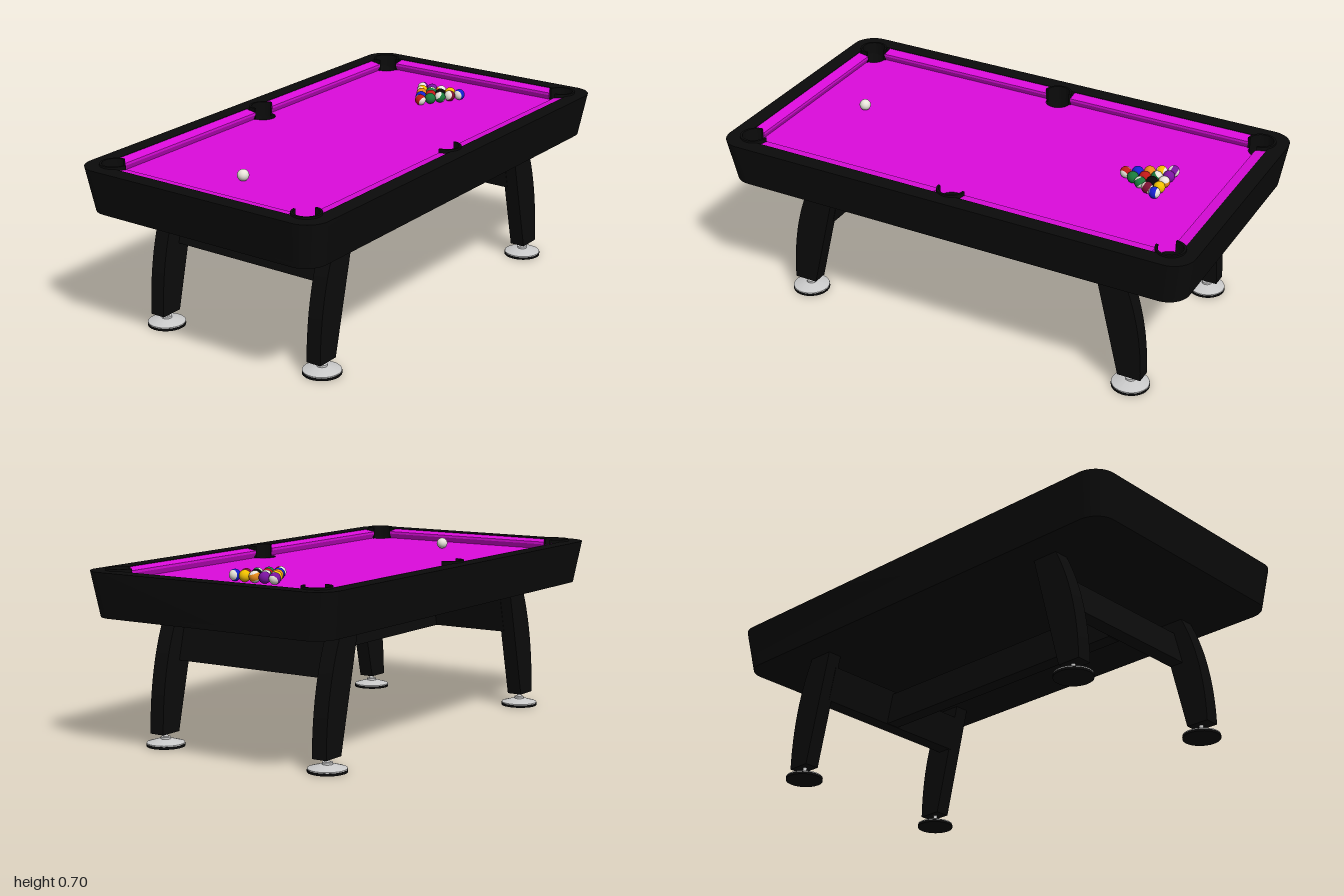
import * as THREE from 'three';
import { toCreasedNormals } from 'three/addons/utils/BufferGeometryUtils.js';

const mat = (color, side = THREE.FrontSide) => new THREE.MeshStandardMaterial({ color, side });
const black = mat(0x0b0b0b), blackDouble = mat(0x0b0b0b, THREE.DoubleSide);
const cloth = mat(0xdd0bdd), metal = mat(0xcccccc, THREE.DoubleSide);

const TOP = 0.695, BED = 0.655, BOTTOM = 0.52;
const INX = 0.935, INZ = 0.49; // inner edge of the rail
const PX = 0.895, PZ = 0.448, PR = 0.056; // pocket centres and radius

function add(parent, name, geometry, material, x = 0, y = 0, z = 0) {
  const m = new THREE.Mesh(geometry, material);
  m.name = name;
  m.position.set(x, y, z);
  parent.add(m);
  return m;
}

// Plan shape (x, z) extruded downwards from the given height
function slab(shape, top, depth) {
  const g = new THREE.ExtrudeGeometry(shape, { depth, bevelEnabled: false, curveSegments: 16 });
  g.rotateX(Math.PI / 2).translate(0, top, 0);
  return toCreasedNormals(g, 0.5);
}

function roundedRect(hx, hz, r) {
  const s = new THREE.Shape();
  s.absarc(hx - r, hz - r, r, 0, Math.PI / 2);
  s.absarc(-hx + r, hz - r, r, Math.PI / 2, Math.PI);
  s.absarc(-hx + r, -hz + r, r, Math.PI, Math.PI * 1.5);
  s.absarc(hx - r, -hz + r, r, Math.PI * 1.5, Math.PI * 2);
  s.closePath();
  return s;
}

// Body sides lean inwards towards the bottom
function taper(g) {
  const p = g.attributes.position;
  for (let i = 0; i < p.count; i++) {
    const t = (TOP - p.getY(i)) / (TOP - BOTTOM);
    p.setX(i, p.getX(i) * (1 - 0.025 * t));
    p.setZ(i, p.getZ(i) * (1 - 0.05 * t));
  }
  return toCreasedNormals(g, 0.5);
}

// Six pockets, anticlockwise in plan: centre, rail bite angles, wall angles
function pockets() {
  const a = Math.asin((INZ - PZ) / PR), b = Math.acos((INX - PX) / PR), P = Math.PI;
  return [
    [PX, PZ, -b, P - a, -P / 2, P],
    [0, PZ, a, P - a, 0, P],
    [-PX, PZ, a, P + b, 0, P * 1.5],
    [-PX, -PZ, P - b, 2 * P - a, P / 2, P * 2],
    [0, -PZ, P + a, 2 * P - a, P, P * 2],
    [PX, -PZ, P + a, 2 * P + b, P, P * 2.5],
  ];
}

function buildBody(group) {
  const outline = roundedRect(1, 0.555, 0.09);
  add(group, 'undersidePanel', taper(slab(outline, BOTTOM + 0.02, 0.02)), black);

  // Rail frame with bites for the pockets
  const inner = new THREE.Path();
  for (const [x, z, a0, a1] of pockets()) inner.absarc(x, z, PR, a0, a1);
  inner.closePath();
  outline.holes.push(inner);
  add(group, 'railFrame', taper(slab(outline, TOP, TOP - BOTTOM - 0.02)), black);

  // Playing bed with pocket holes
  const bed = roundedRect(0.955, 0.515, 0.06);
  for (const [x, z] of pockets()) {
    const hole = new THREE.Path();
    hole.absarc(x, z, 0.05, 0, Math.PI * 2);
    bed.holes.push(hole);
  }
  add(group, 'bed', slab(bed, BED, 0.02), cloth);

  // Pocket cups and raised curved jaws
  for (const [x, z, , , w0, w1] of pockets()) {
    add(group, 'pocketCup', new THREE.CylinderGeometry(0.0495, 0.045, 0.096, 32, 1, true), blackDouble, x, 0.608, z);
    add(group, 'pocketFloor', new THREE.CylinderGeometry(0.046, 0.046, 0.006, 32), black, x, 0.56, z);
    const jaw = new THREE.Shape();
    jaw.absarc(0, 0, 0.057, w0, w1);
    jaw.absarc(0, 0, 0.048, w1, w0, true);
    jaw.closePath();
    add(group, 'pocketJaw', slab(jaw, 0.703, 0.06), black, x, 0, z);
  }
}

function buildCushions(group) {
  const profile = new THREE.Shape([
    [-0.005, BED], [0.036, BED], [0.045, 0.675], [0.045, 0.685], [0, 0.693], [-0.005, 0.693],
  ].map(([d, y]) => new THREE.Vector2(d, y)));
  const cushion = (length, x, z, turn) => {
    const g = new THREE.ExtrudeGeometry(profile, { depth: length, bevelEnabled: false });
    g.translate(0, 0, -length / 2);
    add(group, 'cushion', g, cloth, x, 0, z).rotation.y = turn;
  };
  const longLength = PX - 2 * PR, mid = PX / 2;
  for (const s of [-1, 1]) {
    cushion(2 * (PZ - PR), s * INX, 0, s < 0 ? 0 : Math.PI);
    for (const e of [-1, 1]) cushion(longLength, e * mid, s * INZ, s * Math.PI / 2);
  }
}

// One end: two curved legs, feet and a slanted cross beam
function buildEnd() {
  const end = new THREE.Group();
  const legShape = new THREE.Shape();
  legShape.moveTo(0.682, 0.053);
  legShape.lineTo(0.778, 0.053);
  legShape.quadraticCurveTo(0.775, 0.33, 0.672, 0.53);
  legShape.lineTo(0.567, 0.53);
  legShape.closePath();
  const legGeo = toCreasedNormals(new THREE.ExtrudeGeometry(legShape, {
    depth: 0.063, bevelEnabled: false, curveSegments: 16,
  }).translate(0, 0, -0.0315), 0.5);
  const footProfile = [
    [0.074, 0.01], [0.074, 0.014], [0.03, 0.027], [0.02, 0.028], [0.02, 0.036],
    [0.011, 0.037], [0.008, 0.045], [0.008, 0.056],
  ].map(([r, y]) => new THREE.Vector2(r, y));
  const footGeo = toCreasedNormals(new THREE.LatheGeometry(footProfile, 32), 0.4);

  for (const z of [-0.378, 0.378]) {
    add(end, 'leg', legGeo, black, 0, 0, z);
    add(end, 'footCone', footGeo, metal, 0.725, 0, z);
    add(end, 'footPad', new THREE.CylinderGeometry(0.075, 0.075, 0.01, 32), black, 0.725, 0.005, z);
  }
  const beam = new THREE.Shape([
    [0.614, 0.33], [0.674, 0.33], [0.639, 0.47], [0.579, 0.47],
  ].map(([x, y]) => new THREE.Vector2(x, y)));
  add(end, 'crossBeam', new THREE.ExtrudeGeometry(beam, { depth: 0.72, bevelEnabled: false })
    .translate(0, 0, -0.36), black);
  return end;
}

function buildBase(group) {
  const base = new THREE.Group();
  base.name = 'base';
  base.position.x = 0.008;
  for (const turn of [0, Math.PI]) {
    const end = buildEnd();
    end.name = turn ? 'rightLegs' : 'leftLegs';
    end.rotation.y = turn;
    base.add(end);
  }
  add(base, 'longBeam', new THREE.BoxGeometry(1.22, 0.128, 0.06), black, 0, 0.394, 0);
  group.add(base);
}

// Balls: solid, or a coloured band between pale ends
function buildBalls(group) {
  const R = 0.023, pale = 0xe8e4da;
  const ball = (x, z, color, striped) => {
    const b = new THREE.Group();
    b.name = 'ball';
    b.position.set(x, BED + R, z);
    b.rotation.set(0.5 + x * 9, 0, z * 20);
    const cuts = striped ? [0, 0.32, 0.68, 1] : [0, 1];
    for (let i = 0; i + 1 < cuts.length; i++) {
      const g = new THREE.SphereGeometry(R, 24, striped ? 6 : 16, 0, Math.PI * 2,
        cuts[i] * Math.PI, (cuts[i + 1] - cuts[i]) * Math.PI);
      add(b, 'ballPart', g, mat(striped && i !== 1 ? pale : color));
    }
    group.add(b);
  };
  ball(-0.67, -0.015, pale, false);
  const red = 0xc01818, blue = 0x1420d0, green = 0x1a7a3a, orange = 0xe88a1a,
    purple = 0x7a14a0, yellow = 0xf0c000, maroon = 0x7a1030;
  const rack = [
    [[red, 1]],
    [[blue, 0], [green, 0]],
    [[orange, 0], [red, 0], [green, 1]],
    [[yellow, 1], [green, 1], [0x080808, 0], [maroon, 1]],
    [[purple, 1], [purple, 0], [orange, 1], [yellow, 0], [blue, 1]],
  ];
  rack.forEach((row, i) => row.forEach(([color, striped], j) =>
    ball(0.51 + i * 0.04, -0.01 + (j - i / 2) * 2 * R, color, !!striped)));
}

export function createModel() {
  const group = new THREE.Group();
  group.name = 'poolTable';
  buildBody(group);
  buildCushions(group);
  buildBase(group);
  buildBalls(group);
  return group;
}
